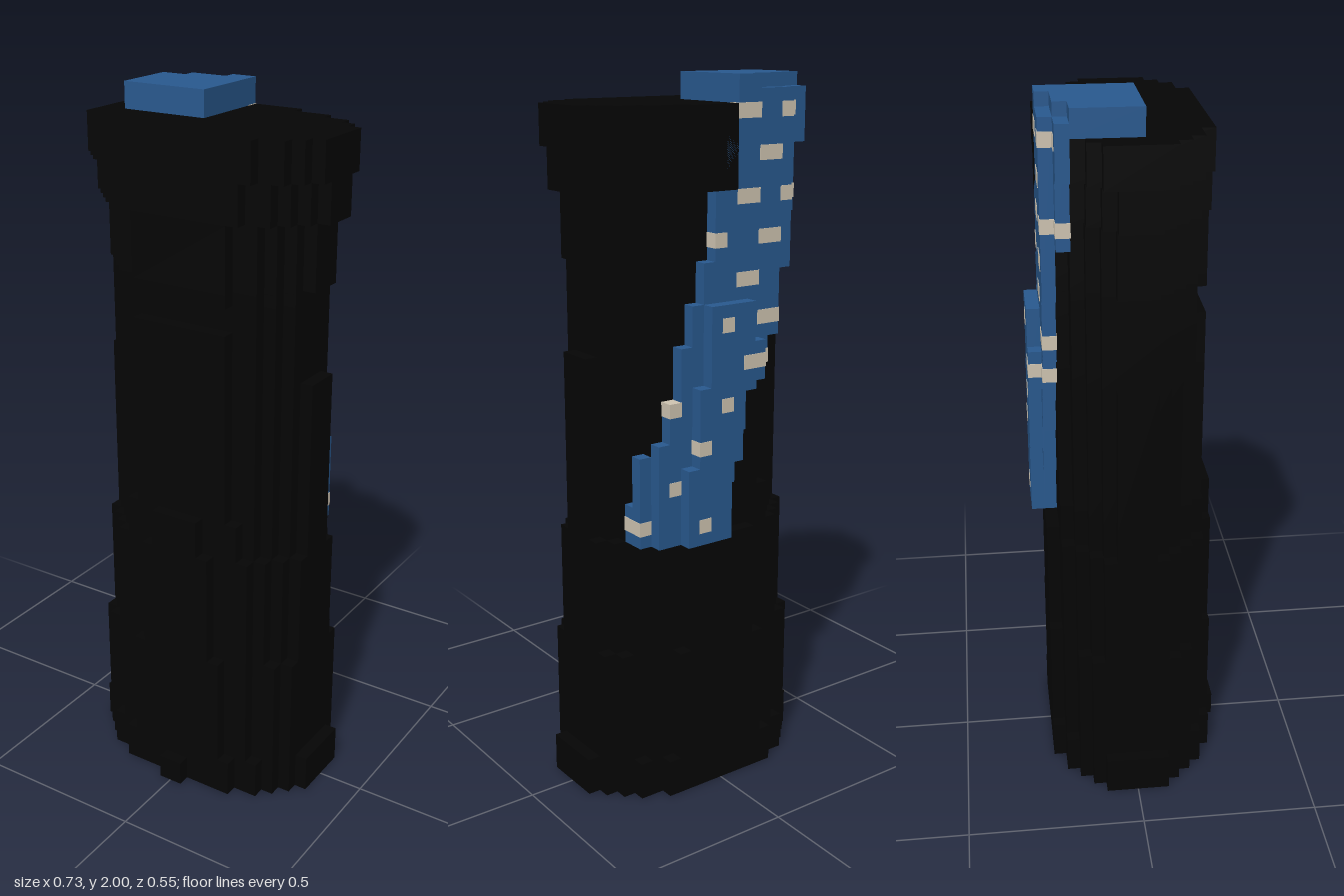
import * as THREE from 'three';
import { mergeGeometries } from 'three/addons/utils/BufferGeometryUtils.js';

const V = 2 / 55; // size of one block

const black = new THREE.MeshStandardMaterial({ color: 0x050505 });
black.name = 'black';
const blue = new THREE.MeshStandardMaterial({ color: 0x29598f });
blue.name = 'blue';
const beige = new THREE.MeshStandardMaterial({ color: 0xd0c5b2 });
beige.name = 'beige';

// Block given by its limits on the block grid, optionally grown a little
function block(x0, x1, y0, y1, z0, z1, grow = 0) {
  const g = new THREE.BoxGeometry((x1 - x0) * V + grow, (y1 - y0) * V + grow, (z1 - z0) * V + grow);
  return g.translate((x0 + x1) / 2 * V, (y0 + y1) / 2 * V, (z0 + z1) / 2 * V);
}

function part(name, material, geometries) {
  const mesh = new THREE.Mesh(mergeGeometries(geometries), material);
  mesh.name = name;
  return mesh;
}

// Column tiers: bottom, top, half width, half depth of the widest row,
// then half widths of the two outermost rows (0 for none)
const tiers = [
  [0, 3, 10, 2.5, 7, 5],
  [3, 12, 9, 3.5, 6, 4],
  [12, 21, 9, 2.5, 6, 3],
  [21, 24, 9, 1.5, 5, 0],
  [24, 35, 9, 1.5, 4, 0],
  [35, 39, 8, 2.5, 4, 0],
  [39, 41, 8, 2.5, 0, 0],
  [41, 42, 8, 2.5, 4, 0],
  [42, 47, 9, 1.5, 4, 0],
  [47, 50, 10, 1.5, 5, 0],
  [50, 53, 10, 2.5, 6, 0],
];

// Oval tier: each row one block deeper is one block narrower on each side
function ovalTier([y0, y1, half, depth, outer, outermost]) {
  const rows = [[outer, 5.5], [outermost, 6.5]].filter(([h]) => h > 0);
  for (let z = depth; z <= 4.5; z++) rows.push([half - (z - depth), z]);
  return rows.map(([h, z]) => block(-h, h, y0, y1, -z, z));
}

// Strap edges: the heights at which each one-block step starts
const lowEdge = [21, 25, 29, 32, 34, 36, 41, 45, 50];  // x = 0, -1, ...
const highEdge = [21, 28, 29, 32, 36, 39, 42, 48, 51]; // x = 7, 6, ...
const stepsAt = (edge, y) => edge.filter((e) => e <= y).length - 1;

// Back face of the strap, following the round column
function strapBack(x) {
  return x >= 6 || x < -6 ? -5.5 : -6.5;
}

// Spots on the wrapped strap and on the raised band: [x, y, width]
const strapSpots = [[-3, 52, 2], [-3, 46, 2], [-3, 40, 2], [-5, 49, 2], [-5, 43, 2], [-5, 37, 2],
  [-4, 34, 1], [0, 43, 1], [4, 31, 1], [4, 25, 1], [-6, 46, 1], [-7, 46, 1], [-6, 52, 1],
  [-7, 52, 1], [6, 22, 1]];
const bandSpots = [[0, 37, 1], [0, 31, 1], [2, 28, 1], [2, 22, 1], [-3, 34, 2]];

// Lengths of the raised band: [x0, x1, y0, y1]
const bandLengths = [[0, 4, 21, 27], [-1, 3, 27, 33], [-2, 2, 33, 39], [-3, -2, 33, 36]];

export function createModel() {
  const model = new THREE.Group();
  model.name = 'strappedColumn';

  // Stepped oval column with its front nub, front ledge and back ridges
  model.add(part('column', black, [
    ...tiers.flatMap(ovalTier),
    block(-1, 1, 0, 2, 0, 7.5),
    block(-2, 2, 21, 24, 0, 6.5),
    block(-4, 4, 39, 41, -5.5, 0),
    block(-1, 2, 47, 50, -6.5, 0),
    block(-1, 3, 50, 53, -6.5, 0),
  ]));

  // Slanting strap, one vertical run of blocks per column of x
  const strap = [block(6, 7, 21, 24, -4.5, -3.5)];
  for (let x = -8; x < 7; x++) {
    const ys = [];
    for (let y = 21; y < 54; y++) {
      if (x >= -stepsAt(lowEdge, y) && x < 7 - stepsAt(highEdge, y)) ys.push(y);
    }
    const z = strapBack(x);
    strap.push(block(x, x + 1, ys[0], ys[ys.length - 1] + 1, z, z + 1));
  }
  model.add(part('strap', blue, strap));

  // Raised band lying over the lower strap
  model.add(part('raisedBand', blue, bandLengths.map((b) => block(...b, -7.5, -6.5))));

  // Flat patch where the strap passes over the top
  model.add(part('topPatch', blue, [
    block(-8, -1, 53, 55, -4.5, 0.5),
    block(-6, -1, 53, 55, -5.5, -4.5),
    block(-3, -1, 53, 55, -6.5, -5.5),
  ]));

  // Beige spots, thin skins over single blocks or pairs
  const skin = (x, y, w, z) => block(x, x + w, y, y + 1, z, z + 1, 0.003);
  model.add(part('spots', beige, [
    ...strapSpots.map(([x, y, w]) => skin(x, y, w, strapBack(x))),
    ...bandSpots.map(([x, y, w]) => skin(x, y, w, -7.5)),
    skin(6, 22, 1, -4.5),
  ]));

  return model;
}
